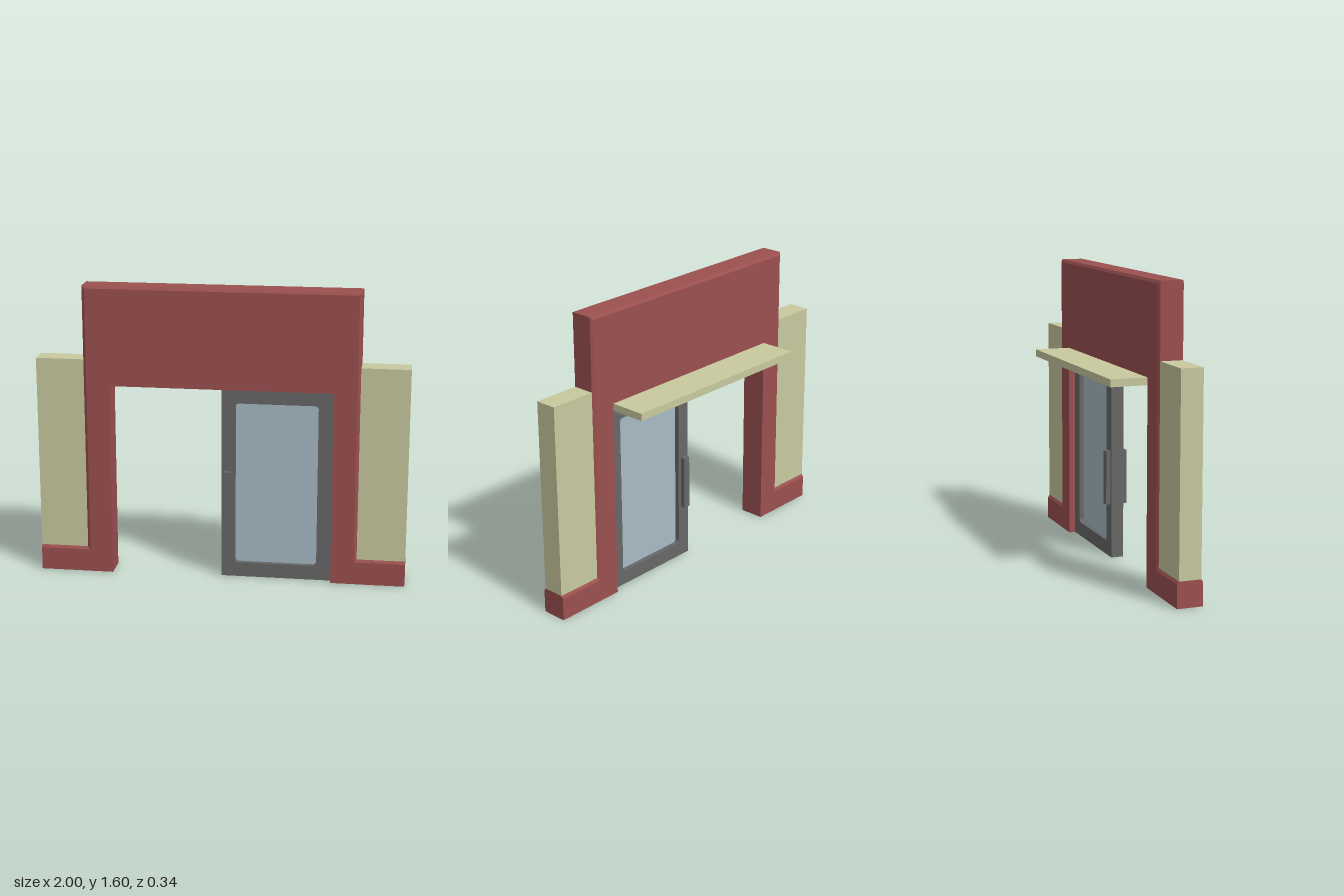
import * as THREE from 'three';

const material = (name, color, side = THREE.FrontSide) => {
  const m = new THREE.MeshStandardMaterial({ color, side });
  m.name = name;
  return m;
};

// Quad strip between two chains of [x, y] points lying at depths za and zb
function strip(out, a, za, b, zb) {
  for (let i = 0; i < a.length - 1; i++) {
    const p = [...a[i], za], q = [...a[i + 1], za], r = [...b[i + 1], zb], s = [...b[i], zb];
    quad(out, p, q, r, s);
  }
}

function quad(out, p, q, r, s) {
  out.push(...p, ...q, ...r, ...p, ...r, ...s);
}

function roundedRect(target, x0, y0, x1, y1, r) {
  target.moveTo(x0 + r, y0);
  target.lineTo(x1 - r, y0);
  target.absarc(x1 - r, y0 + r, r, -Math.PI / 2, 0);
  target.lineTo(x1, y1 - r);
  target.absarc(x1 - r, y1 - r, r, 0, Math.PI / 2);
  target.lineTo(x0 + r, y1);
  target.absarc(x0 + r, y1 - r, r, Math.PI / 2, Math.PI);
  target.lineTo(x0, y0 + r);
  target.absarc(x0 + r, y0 + r, r, Math.PI, Math.PI * 1.5);
  return target;
}

export function createModel() {
  const red = material('red wall', 0x9c5050, THREE.DoubleSide);
  const cream = material('cream panel', 0xc8c99f);
  const grey = material('grey frame', 0x686868);
  const glass = material('pale blue glass', 0xa8bbc6);
  const model = new THREE.Group();
  model.name = 'doorway';

  const add = (name, geometry, mat, parent = model) => {
    const mesh = new THREE.Mesh(geometry, mat);
    mesh.name = name;
    parent.add(mesh);
    return mesh;
  };
  const box = (name, mat, [x0, x1], [y0, y1], [z0, z1], parent) => {
    const mesh = add(name, new THREE.BoxGeometry(x1 - x0, y1 - y0, z1 - z0), mat, parent);
    mesh.position.set((x0 + x1) / 2, (y0 + y1) / 2, (z0 + z1) / 2);
  };

  // Portal surround: bevelled upper outline, plain opening, open underside
  const front = 0.17, back = 0.03, cut = 0.01, bevel = 0.015;
  const outline = (d) => [
    [-1, 0.14 - d], [-0.74 + d, 0.14 - d], [-0.74 + d, 1.6 - d],
    [0.74 - d, 1.6 - d], [0.74 - d, 0.14 - d], [1, 0.14 - d],
  ];
  const outer = outline(0), inner = outline(bevel);
  const opening = [[0.6, 0], [0.6, 1.06], [-0.6, 1.06], [-0.6, 0]];
  const wall = new THREE.Group();
  wall.name = 'portalWall';
  model.add(wall);

  const face = new THREE.Shape(
    [...inner, [1, 0], ...opening, [-1, 0]].map(([x, y]) => new THREE.Vector2(x, y)));
  add('wallFront', new THREE.ShapeGeometry(face), red, wall).position.z = front;
  const rear = add('wallBack', new THREE.ShapeGeometry(face), red, wall);
  rear.rotation.y = Math.PI;
  rear.position.z = back;

  const edges = [];
  strip(edges, inner, front, outer, front - cut);
  strip(edges, outer, front - cut, outer, back + cut);
  strip(edges, outer, back + cut, inner, back);
  strip(edges, opening, front, opening, back);
  const yb = 0.14 - bevel;
  for (const x of [1, -1]) {
    const ends = [
      [[x, 0, front], [x, 0, back], [x, yb, back], [x, yb, front]],
      [[x, yb, front], [x, yb, back], [x, 0.14, back + cut], [x, 0.14, front - cut]],
    ];
    for (const e of ends) quad(edges, ...(x > 0 ? e : e.reverse()));
  }
  const edgeGeometry = new THREE.BufferGeometry();
  edgeGeometry.setAttribute('position', new THREE.Float32BufferAttribute(edges, 3));
  edgeGeometry.computeVertexNormals();
  add('wallEdges', edgeGeometry, red, wall);

  // Side panels standing on the low plinths
  box('leftPanel', cream, [0.74, 1], [0.14, 1.2], [back + cut, front - cut]);
  box('rightPanel', cream, [-1, -0.74], [0.14, 1.2], [back + cut, front - cut]);

  // Canopy over the back of the opening
  box('canopy', cream, [-0.6, 0.6], [1.06, 1.1], [-0.17, 0.03]);

  // Sliding door with a rounded window and a handle on each face
  const door = new THREE.Group();
  door.name = 'door';
  model.add(door);
  const leaf = new THREE.Shape([[0, 0], [0.6, 0], [0.6, 1.06], [0, 1.06]].map(([x, y]) => new THREE.Vector2(x, y)));
  leaf.holes.push(roundedRect(new THREE.Path(), 0.075, 0.08, 0.52, 0.98, 0.02));
  add('doorFrame', new THREE.ExtrudeGeometry(leaf, { depth: 0.07, bevelEnabled: false, curveSegments: 5 }), grey, door)
    .position.z = 0.065;
  box('doorGlass', glass, [0.07, 0.525], [0.075, 0.985], [0.09, 0.11], door);
  box('frontHandle', grey, [0.015, 0.055], [0.3, 0.6], [0.135, 0.16], door);
  box('backHandle', grey, [0.015, 0.055], [0.3, 0.6], [0.04, 0.065], door);

  return model;
}
